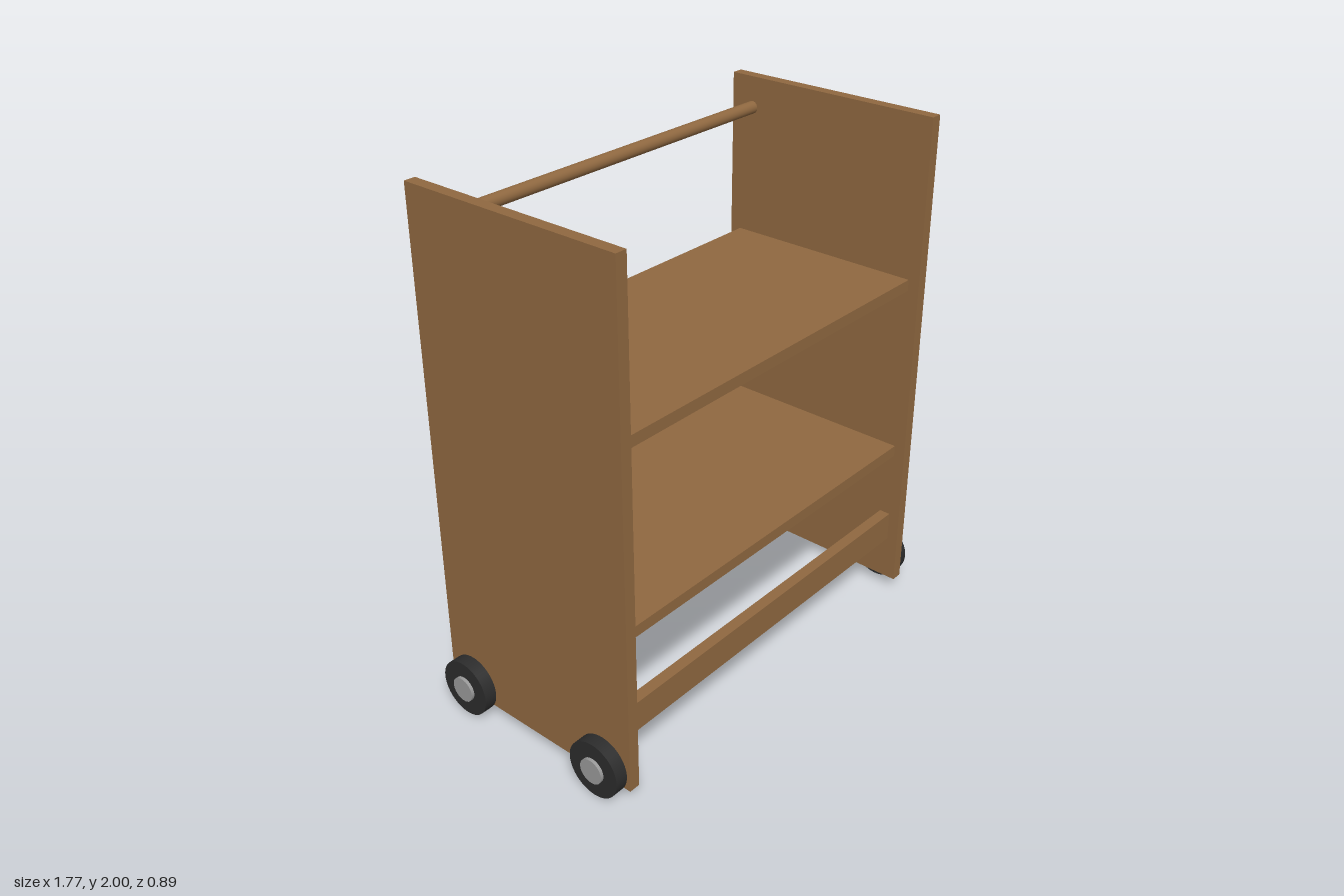
import * as THREE from 'three';

export function createModel() {
  const model = new THREE.Group();
  const material = (name, color) => {
    const m = new THREE.MeshStandardMaterial({ color });
    m.name = name;
    return m;
  };
  const wood = material('wood', 0x8f6840);
  const rubber = material('rubber', 0x2c2c2c);
  const metal = material('metal', 0x999999);

  const add = (name, geometry, mat, x, y, z, parent = model) => {
    const mesh = new THREE.Mesh(geometry, mat);
    mesh.name = name;
    mesh.position.set(x, y, z);
    parent.add(mesh);
  };
  const box = (name, w, h, d, x, y, z) => add(name, new THREE.BoxGeometry(w, h, d), wood, x, y, z);
  // Cylinder lying along x
  const rod = (radius, length, sides) =>
    new THREE.CylinderGeometry(radius, radius, length, sides).rotateZ(Math.PI / 2);

  const inner = 1.556; // clear width between the side panels

  // Two shelves
  box('lowerShelf', inner, 0.044, 0.796, 0, 0.646, 0);
  box('upperShelf', inner, 0.044, 0.796, 0, 1.356, 0);

  // Rails under the shelves, flush with their edges
  box('frontRail', inner, 0.118, 0.044, 0, 0.291, 0.376);
  box('backRail', inner, 0.118, 0.044, 0, 0.291, -0.376);

  // Handle bar near the top at the back
  add('handleBar', rod(0.024, inner, 32), wood, 0, 1.881, -0.35);

  for (const side of [1, -1]) {
    const label = side > 0 ? 'left' : 'right';
    box(label + 'Panel', 0.044, 1.952, 0.886, side * 0.8, 1.024, 0);

    // Wheels outside each panel, with hub caps and short axles
    for (const end of [1, -1]) {
      const wheel = new THREE.Group();
      wheel.name = label + (end > 0 ? 'Front' : 'Back') + 'Wheel';
      wheel.position.set(side * 0.85, 0.11, end * 0.322);
      add('tyre', rod(0.11, 0.05, 48), rubber, 0, 0, 0, wheel);
      add('hub', rod(0.049, 0.066, 32), metal, side * 0.004, 0, 0, wheel);
      model.add(wheel);
    }
  }
  return model;
}
